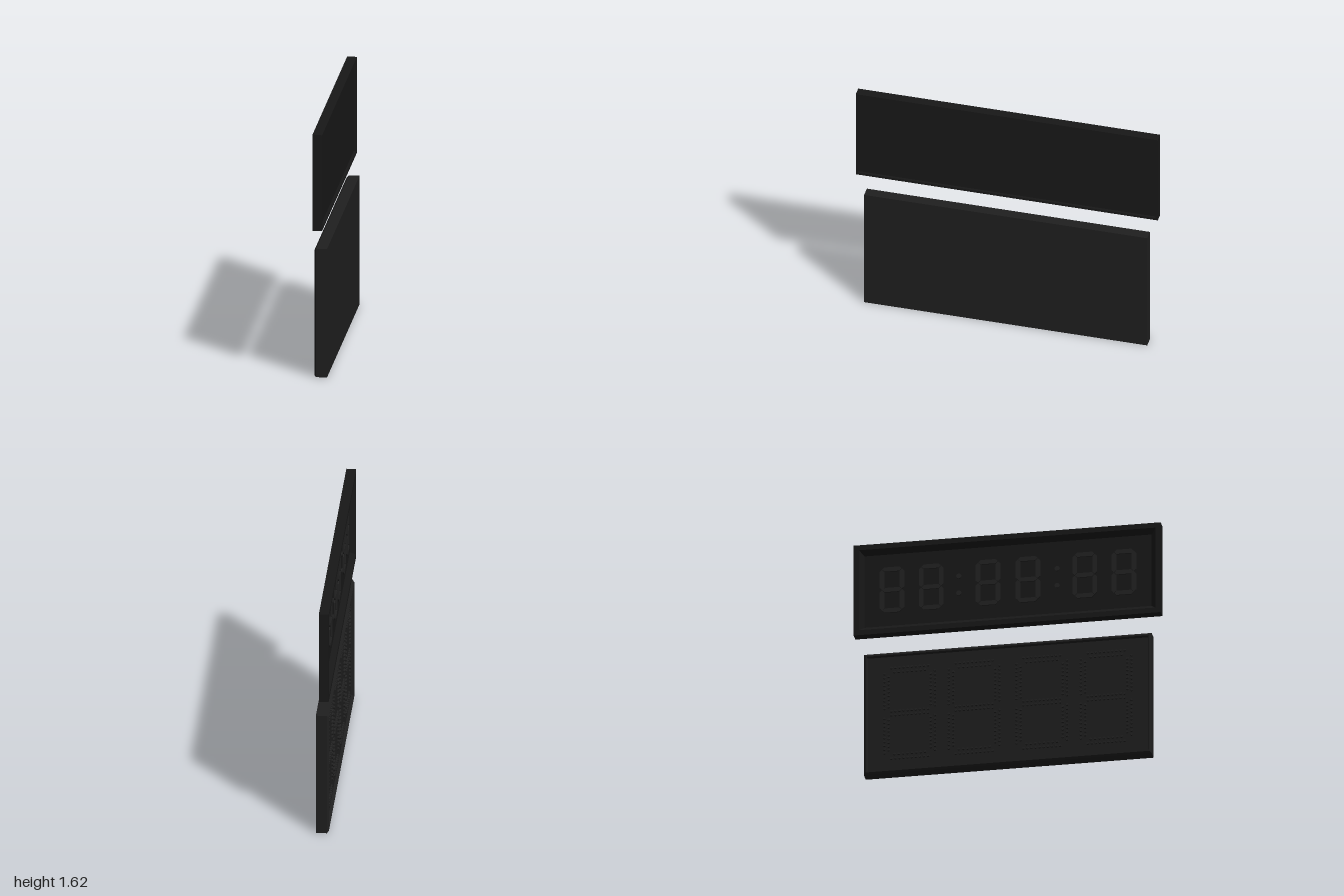
import * as THREE from 'three';
import { mergeGeometries } from 'three/addons/utils/BufferGeometryUtils.js';

const upperMat = new THREE.MeshStandardMaterial({ color: 0x181818 });
const lowerMat = new THREE.MeshStandardMaterial({ color: 0x1f1f1f });
const segmentMat = new THREE.MeshStandardMaterial({ color: 0x222222 });

function addMesh(parent, name, geometry, material) {
  const mesh = new THREE.Mesh(geometry, material);
  mesh.name = name;
  parent.add(mesh);
  return mesh;
}

// Rectangular housing: a profile of [inset, z] rings, run from the back to the front.
function housing(w, h, profile) {
  const rings = profile.map(([inset, z]) => {
    const x = w / 2 - inset, y = h / 2 - inset;
    return [[-x, -y, z], [x, -y, z], [x, y, z], [-x, y, z]];
  });
  const pos = [];
  for (let r = 0; r < rings.length - 1; r++) {
    for (let i = 0; i < 4; i++) {
      const j = (i + 1) % 4;
      const a = rings[r][i], b = rings[r][j], c = rings[r + 1][j], d = rings[r + 1][i];
      pos.push(...a, ...b, ...c, ...a, ...c, ...d);
    }
  }
  const g = new THREE.BufferGeometry();
  g.setAttribute('position', new THREE.Float32BufferAttribute(pos, 3));
  g.computeVertexNormals();
  return g;
}

// Pointed bar of a seven-segment digit, lying along x
function barGeometry(length, width, depth) {
  const l = length / 2, t = width / 2;
  const shape = new THREE.Shape([[-l, 0], [-l + t, -t], [l - t, -t], [l, 0], [l - t, t], [-l + t, t]]
    .map(([x, y]) => new THREE.Vector2(x, y)));
  return new THREE.ExtrudeGeometry(shape, { depth, bevelEnabled: false });
}

function segmentDigit(w, h, t, depth) {
  const parts = [];
  for (const k of [-1, 0, 1]) {
    parts.push(barGeometry(w - t * 1.1, t, depth).translate(0, k * (h - t) / 2, 0));
  }
  for (const sx of [-1, 1]) for (const sy of [-1, 1]) {
    parts.push(barGeometry((h - t) / 2 - t * 0.1, t, depth).rotateZ(Math.PI / 2)
      .translate(sx * (w - t) / 2, sy * (h - t) / 4, 0));
  }
  return mergeGeometries(parts);
}

// Digit drawn with double rows of small lamps
function lampDigit() {
  const points = [];
  const row = (x0, y0, x1, y1, n) => {
    for (let i = 0; i < n; i++) {
      const f = i / (n - 1);
      points.push([x0 + (x1 - x0) * f, y0 + (y1 - y0) * f]);
    }
  };
  for (const s of [-1, 1]) {
    row(-0.12, s * 0.32, 0.12, s * 0.32, 10);
    row(-0.1, s * 0.29, 0.1, s * 0.29, 8);
    row(-0.12, s * 0.014, 0.12, s * 0.014, 10);
    for (const v of [-1, 1]) {
      row(s * 0.165, v * 0.035, s * 0.165, v * 0.28, 10);
      row(s * 0.137, v * 0.045, s * 0.137, v * 0.26, 9);
    }
  }
  return mergeGeometries(points.map(([x, y]) =>
    new THREE.CylinderGeometry(0.007, 0.009, 0.01, 8).rotateX(Math.PI / 2).translate(x, y, 0.005)));
}

export function createModel() {
  const model = new THREE.Group();
  model.name = 'displayBoards';
  const turn = -Math.PI / 2 + THREE.MathUtils.degToRad(4.1);

  // Upper clock board: deep frame, sloping inner walls, recessed face and back
  const upper = new THREE.Group();
  upper.name = 'upperClockBoard';
  const uw = 2.0, uh = 0.635, ut = 0.063, face = ut / 2 - 0.035;
  addMesh(upper, 'upperHousing', housing(uw, uh, [
    [uh / 2, -ut / 2 + 0.018], [0.015, -ut / 2 + 0.018], [0.015, -ut / 2], [0, -ut / 2],
    [0, ut / 2], [0.035, ut / 2], [0.065, face], [uh / 2, face],
  ]), upperMat);

  const digitGeo = segmentDigit(0.16, 0.32, 0.03, 0.008);
  for (const x of [-0.755, -0.5, -0.13, 0.13, 0.5, 0.755]) {
    addMesh(upper, 'clockDigit', digitGeo, segmentMat).position.set(x, 0, face);
  }
  const colonGeo = new THREE.CylinderGeometry(0.017, 0.017, 0.008, 16).rotateX(Math.PI / 2);
  for (const x of [-0.32, 0.32]) for (const y of [-0.06, 0.06]) {
    addMesh(upper, 'colonDot', colonGeo, segmentMat).position.set(x, y, face + 0.004);
  }
  upper.position.set(-0.0125, 0.985 + uh / 2, 0);
  upper.rotation.y = turn;
  model.add(upper);

  // Lower lamp board: chamfered rim around a shallow face
  const lower = new THREE.Group();
  lower.name = 'lowerLampBoard';
  const lw = 1.875, lh = 0.85, lt = 0.083, lampFace = lt / 2 - 0.02;
  addMesh(lower, 'lowerHousing', housing(lw, lh, [
    [lh / 2, -lt / 2], [0, -lt / 2], [0, lt / 2 - 0.012], [0.012, lt / 2],
    [0.02, lt / 2], [0.025, lampFace], [lh / 2, lampFace],
  ]), lowerMat);

  const lampGeo = lampDigit();
  for (const x of [-0.64, -0.22, 0.22, 0.64]) {
    addMesh(lower, 'lampDigit', lampGeo, segmentMat).position.set(x, 0, lampFace);
  }
  lower.position.set(0.0025, lh / 2, 0);
  lower.rotation.y = turn;
  model.add(lower);

  return model;
}
